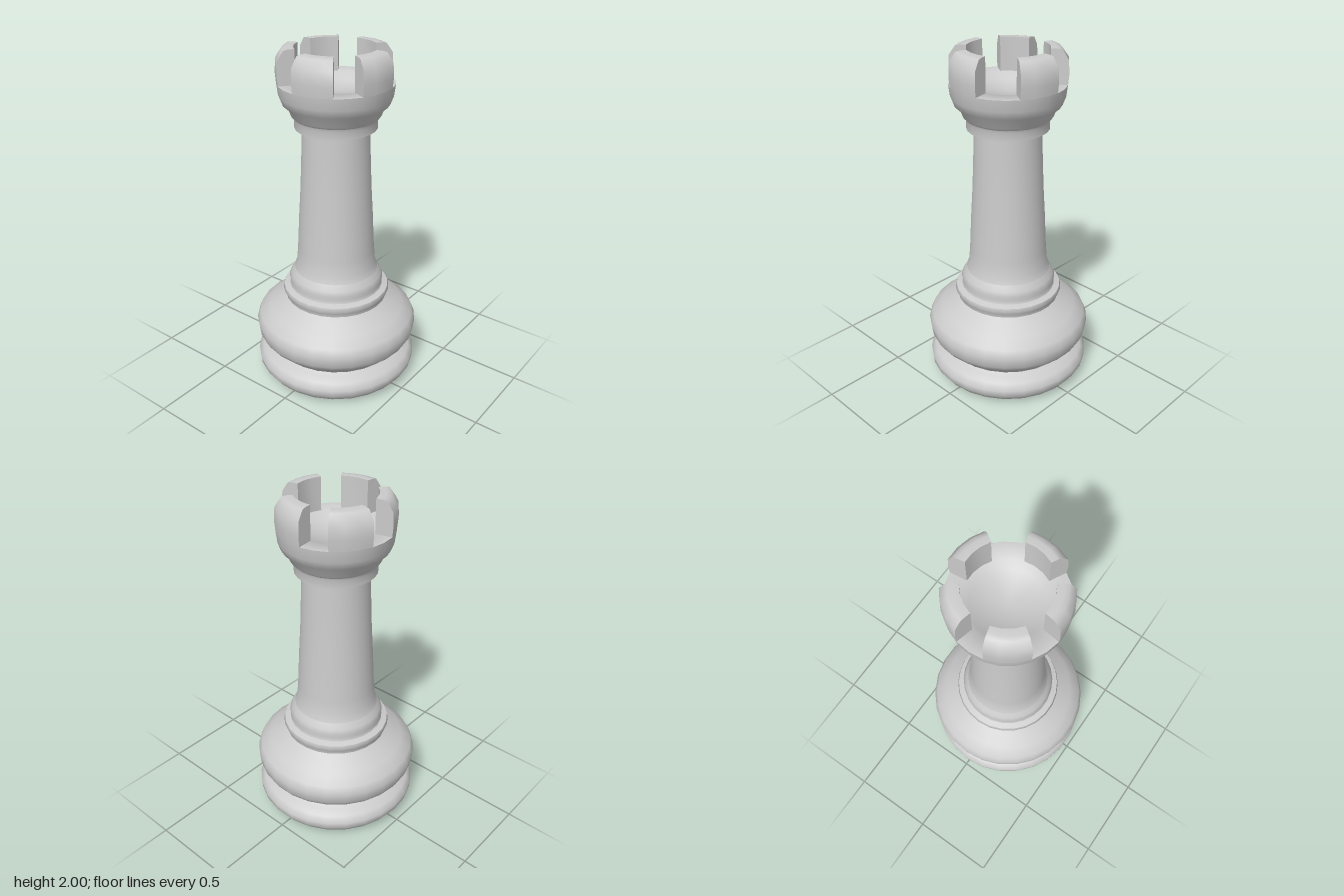
import * as THREE from 'three';
import { toCreasedNormals } from 'three/addons/utils/BufferGeometryUtils.js';

const SIDES = 26;
const STEP = (Math.PI * 2) / SIDES;
const material = new THREE.MeshStandardMaterial({ color: 0xcccccc });
const capMaterial = new THREE.MeshStandardMaterial({ color: 0xcccccc, side: THREE.DoubleSide });

const toPoints = (pairs) => pairs.map(([r, y]) => new THREE.Vector2(r, y));

// Turns a profile of [radius, height] pairs; from and count are in sides, measured from +x
function turned(name, pairs, from = 0, count = SIDES) {
  const lathe = new THREE.LatheGeometry(toPoints(pairs), count, from * STEP + Math.PI / 2, count * STEP);
  const mesh = new THREE.Mesh(toCreasedNormals(lathe, 0.9), material);
  mesh.name = name;
  return mesh;
}

// One block of the battlement: a turned sector closed by two flat ends
function merlon(index, from, count) {
  const profile = [[0.32, 1.81], [0.325, 1.87], [0.32, 1.945], [0.285, 1.995], [0.26, 2], [0.225, 2], [0.225, 1.81]];
  const group = new THREE.Group();
  group.name = 'merlon' + index;
  group.add(turned('merlonBlock', profile, from, count));
  const end = new THREE.Shape(toPoints(profile));
  for (const side of [from, from + count]) {
    const cap = new THREE.Mesh(new THREE.ShapeGeometry(end), capMaterial);
    cap.rotation.y = side * STEP;
    cap.name = 'merlonEnd';
    group.add(cap);
  }
  return group;
}

export function createModel() {
  const model = new THREE.Group();
  model.name = 'rook';

  // Slightly domed underside and the lower rim
  model.add(turned('foot', [
    [0, 0], [0.3, 0.005], [0.39, 0.018], [0.45, 0.035], [0.478, 0.075], [0.482, 0.115],
    [0.455, 0.15], [0.41, 0.168], [0.388, 0.182],
  ]));

  // Wide belly above the groove
  model.add(turned('belly', [
    [0.388, 0.182], [0.42, 0.215], [0.457, 0.25], [0.475, 0.28], [0.484, 0.345], [0.465, 0.392],
    [0.405, 0.438], [0.335, 0.485], [0.302, 0.508],
  ]));

  // Two stacked collar rings
  model.add(turned('collar', [
    [0.302, 0.508], [0.305, 0.53], [0.318, 0.55], [0.312, 0.572], [0.278, 0.582],
    [0.272, 0.6], [0.279, 0.628], [0.268, 0.655], [0.247, 0.69],
  ]));

  // Tapering shaft
  model.add(turned('shaft', [
    [0.247, 0.69], [0.233, 0.73], [0.225, 0.82], [0.214, 1.03], [0.203, 1.2], [0.195, 1.38], [0.188, 1.56],
  ]));

  // Neck ring and the flaring cup, with the sunken floor inside
  model.add(turned('neckRing', [
    [0.185, 1.56], [0.23, 1.56], [0.23, 1.605], [0.235, 1.62],
  ]));
  model.add(turned('cup', [
    [0.235, 1.62], [0.25, 1.635], [0.262, 1.67], [0.295, 1.7], [0.312, 1.745], [0.32, 1.81],
    [0.225, 1.81], [0.192, 1.77], [0, 1.765],
  ]));

  // Five merlons; the gap after the first is one side wider
  [-2, 4, 9, 14, 19].forEach((from, i) => model.add(merlon(i + 1, from, 3)));

  return model;
}
